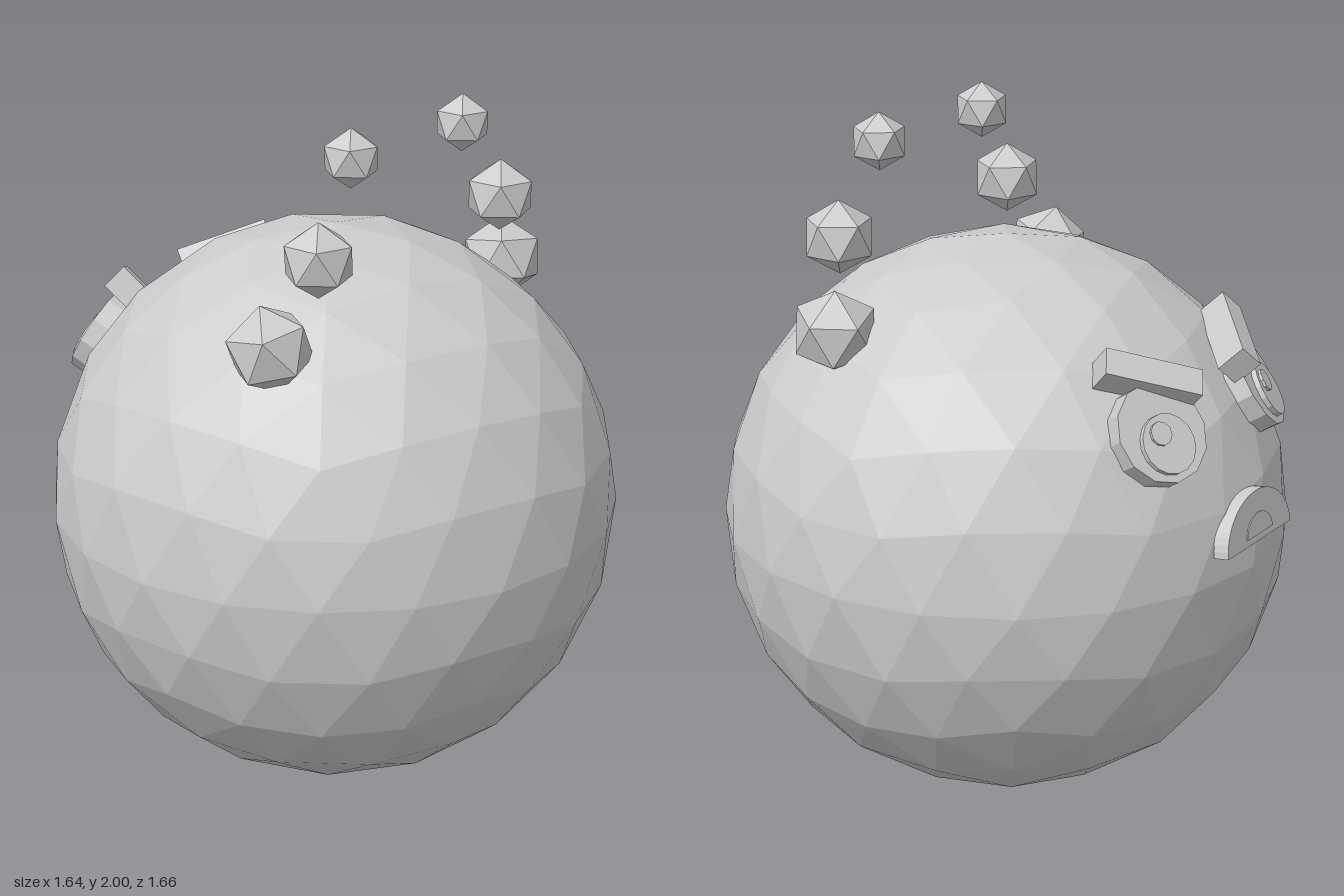
import * as THREE from 'three';

const R = 0.82;
const CENTRE = new THREE.Vector3(0, 0.824, 0.008);
const grey = new THREE.MeshStandardMaterial({ color: 0xcccccc, flatShading: true });
grey.name = 'lightGrey';

function mesh(name, geometry, x = 0, y = 0, z = 0) {
  const m = new THREE.Mesh(geometry, grey);
  m.name = name;
  m.position.set(x, y, z);
  return m;
}

// Icosphere standing on a vertex, each triangle split in four per level
function icosphere(radius, levels) {
  const base = new THREE.IcosahedronGeometry(1, 0);
  base.rotateX(-Math.atan((1 + Math.sqrt(5)) / 2)).rotateY(Math.PI / 2);
  const p = base.getAttribute('position');
  let points = [];
  for (let i = 0; i < p.count; i++) points.push(new THREE.Vector3().fromBufferAttribute(p, i));
  const mid = (a, b) => a.clone().add(b).normalize();
  for (let l = 0; l < levels; l++) {
    const next = [];
    for (let i = 0; i < points.length; i += 3) {
      const [a, b, c] = points.slice(i, i + 3);
      const ab = mid(a, b), bc = mid(b, c), ca = mid(c, a);
      next.push(a, ab, ca, ab, b, bc, ca, bc, c, ab, bc, ca);
    }
    points = next;
  }
  const g = new THREE.BufferGeometry().setFromPoints(points.map(v => v.clone().multiplyScalar(radius)));
  g.computeVertexNormals();
  return g;
}

// Disc facing +z
function disc(radius, depth, sides) {
  return new THREE.CylinderGeometry(radius, radius, depth, sides).rotateX(Math.PI / 2);
}

// Half ellipse plate with its flat edge at the bottom
function halfPlate(rx, ry, depth) {
  const shape = new THREE.Shape();
  shape.absellipse(0, 0, rx, ry, 0, Math.PI, false, 0);
  shape.closePath();
  const g = new THREE.ExtrudeGeometry(shape, { depth, bevelEnabled: false, curveSegments: 12 });
  return g.translate(0, 0, -depth / 2);
}

function createEye(side) {
  const eye = new THREE.Group();
  eye.name = side > 0 ? 'leftEye' : 'rightEye';
  eye.position.copy(CENTRE);
  eye.lookAt(CENTRE.clone().add(new THREE.Vector3(side * 0.26, 0.435, -0.665)));
  eye.add(
    mesh('eyeDisc', disc(0.14, 0.08, 12), 0, 0, 0.81),
    mesh('iris', disc(0.083, 0.06, 16), 0, -0.035, 0.835),
    mesh('pupil', disc(0.033, 0.04, 10), -0.02, -0.005, 0.853),
  );
  return eye;
}

function createBrow(side) {
  const brow = mesh('eyebrow', new THREE.BoxGeometry(0.28, 0.078, 0.09), side * 0.22, 1.387, -0.593);
  // Outer end raised, face pointing away from the body
  const along = new THREE.Vector3(side * 0.714, 0.296, 0.638).normalize();
  const out = brow.position.clone().sub(CENTRE);
  out.addScaledVector(along, -out.dot(along)).normalize();
  const up = out.clone().cross(along);
  brow.quaternion.setFromRotationMatrix(new THREE.Matrix4().makeBasis(along, up, out));
  return brow;
}

export function createModel() {
  const model = new THREE.Group();
  model.name = 'roundCreature';

  model.add(mesh('body', icosphere(R, 2), CENTRE.x, CENTRE.y, CENTRE.z));

  // Horns made of three shrinking balls: x, y, z, radius, tilt
  const hornBalls = [
    [0.525, 1.457, 0.214, 0.123, 0.15],
    [0.408, 1.684, 0.284, 0.104, 0],
    [0.247, 1.922, 0.263, 0.082, 0],
  ];
  for (const side of [-1, 1]) {
    const horn = new THREE.Group();
    horn.name = side > 0 ? 'leftHorn' : 'rightHorn';
    for (const [x, y, z, r, tilt] of hornBalls) {
      const ball = mesh('hornBall', icosphere(r, 0), side * x, y, z);
      ball.rotation.set(-tilt, 0, -side * tilt);
      horn.add(ball);
    }
    model.add(horn, createEye(side), createBrow(side));
  }

  // Frowning mouth with a small raised inner lip
  const mouth = new THREE.Group();
  mouth.name = 'mouth';
  mouth.position.set(0, 0.905, -0.807);
  mouth.rotation.set(0.13, Math.PI, 0);
  mouth.add(
    mesh('mouthPlate', halfPlate(0.175, 0.142, 0.045)),
    mesh('innerLip', halfPlate(0.07, 0.06, 0.008), 0, 0.02, 0.022),
  );
  model.add(mouth);

  return model;
}
